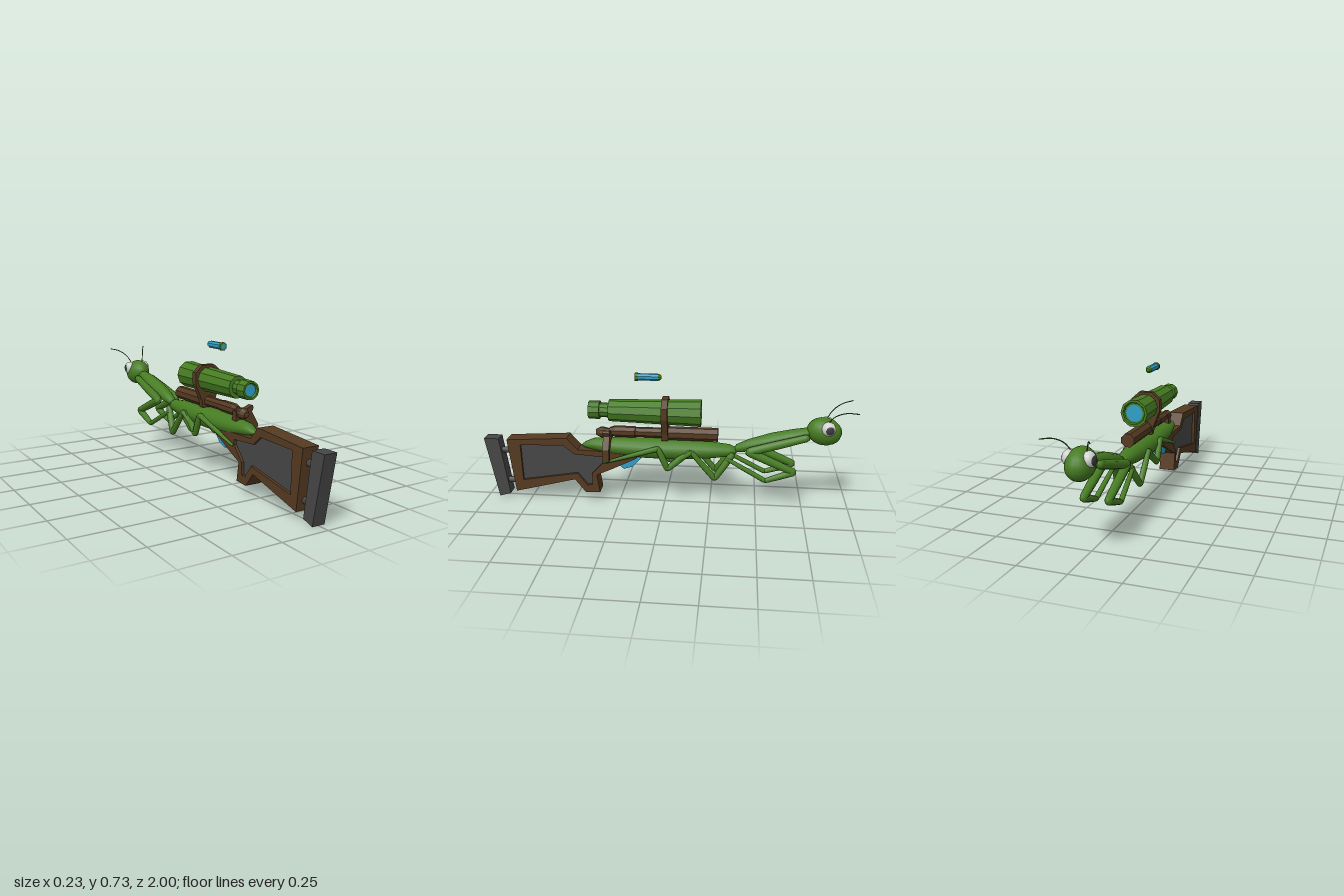
import * as THREE from 'three';

const mat = (name, color, side = THREE.FrontSide) => {
  const m = new THREE.MeshStandardMaterial({ color, side });
  m.name = name;
  return m;
};

export function createModel() {
  const root = new THREE.Group();
  root.name = 'insectRifle';
  const green = mat('leafGreen', 0x467c22);
  const brown = mat('woodBrown', 0x553a21);
  const grey = mat('darkGrey', 0x464646);
  const blue = mat('glassBlue', 0x2f9fc8);
  const white = mat('eyeWhite', 0xd2d2d2);
  const black = mat('pupilGrey', 0x3a3a3a);

  const add = (name, geo, material, parent = root) => {
    const m = new THREE.Mesh(geo, material);
    m.name = name;
    parent.add(m);
    return m;
  };
  const V = (x, y, z) => new THREE.Vector3(x, y, z);
  const poly = pts => pts.map(p => new THREE.Vector2(p[0], p[1]));

  // Side outline [z, y] extruded across x, centred on x = 0
  const sideExtrude = (pts, width, hole) => {
    const s = new THREE.Shape(poly(pts));
    if (hole) s.holes.push(new THREE.Path(poly(hole)));
    const g = new THREE.ExtrudeGeometry(s, { depth: width, bevelEnabled: false });
    return g.translate(0, 0, -width / 2).rotateY(-Math.PI / 2);
  };

  // Solid of revolution along z: profile [z, radius] with z decreasing
  const turned = (profile, y, sides) => {
    const g = new THREE.LatheGeometry(poly(profile.map(([z, r]) => [r, -z])), sides, Math.PI / sides);
    const flat = g.rotateX(-Math.PI / 2).translate(0, y, 0).toNonIndexed();
    flat.computeVertexNormals();
    return flat;
  };

  // Smooth elliptical loft along z: sections [z, y, rx, ry] with z decreasing
  const loft = (sections, sides = 14) => {
    const pos = [], idx = [];
    sections.forEach(([z, y, rx, ry]) => {
      for (let i = 0; i < sides; i++) {
        const a = i / sides * Math.PI * 2;
        pos.push(Math.cos(a) * rx, y + Math.sin(a) * ry, z);
      }
    });
    for (let j = 0; j < sections.length - 1; j++) {
      for (let i = 0; i < sides; i++) {
        const k = (i + 1) % sides, a = j * sides + i, b = j * sides + k;
        idx.push(a, a + sides, b, b, a + sides, b + sides);
      }
    }
    const g = new THREE.BufferGeometry();
    g.setAttribute('position', new THREE.Float32BufferAttribute(pos, 3));
    g.setIndex(idx);
    g.computeVertexNormals();
    return g;
  };

  // Tapered, round-ended limb segment
  const limb = (a, b, r0, r1) => {
    const d = b.clone().sub(a), L = d.length();
    const prof = [[0.0001, -r0 * 0.6], [r0 * 0.75, -r0 * 0.3], [r0, r0 * 0.5], [(r0 + r1) * 0.54, L / 2],
      [r1, L - r1 * 0.5], [r1 * 0.75, L + r1 * 0.3], [0.0001, L + r1 * 0.6]];
    const g = new THREE.LatheGeometry(poly(prof), 8);
    g.applyQuaternion(new THREE.Quaternion().setFromUnitVectors(V(0, 1, 0), d.normalize()));
    return g.translate(a.x, a.y, a.z);
  };

  // Stock: wooden frame with a recessed dark panel
  const panel = [[0.794, 0.323], [0.553, 0.329], [0.495, 0.281], [0.33, 0.27], [0.33, 0.243],
    [0.398, 0.168], [0.398, 0.104], [0.425, 0.1], [0.479, 0.168], [0.789, 0.115]];
  add('stockFrame', sideExtrude([[0.869, 0.35], [0.532, 0.372], [0.473, 0.307], [0.3, 0.302], [0.15, 0.31],
    [0.15, 0.27], [0.29, 0.2], [0.372, 0.163], [0.356, 0.061], [0.436, 0.056], [0.495, 0.131], [0.832, 0.045]],
  0.09, panel), brown);
  add('stockPanel', sideExtrude(panel, 0.06), grey);

  // Butt plate on two struts
  add('buttPlate', sideExtrude([[1, 0.35], [0.918, 0.35], [0.872, 0.024], [0.935, 0.005]], 0.07), grey);
  [[0.275, 0.88], [0.095, 0.86]].forEach(([y, z]) => {
    const g = new THREE.CylinderGeometry(0.018, 0.018, 0.09, 8).rotateX(Math.PI / 2);
    add('buttStrut', g.translate(0, y, z), grey);
  });

  // Abdomen and long forward thorax
  add('abdomen', loft([[0.458, 0.322, 0.001, 0.001], [0.44, 0.325, 0.02, 0.015], [0.39, 0.33, 0.038, 0.032],
    [0.28, 0.323, 0.055, 0.048], [0.1, 0.318, 0.063, 0.056], [-0.08, 0.318, 0.062, 0.056],
    [-0.24, 0.32, 0.052, 0.047], [-0.35, 0.322, 0.038, 0.033], [-0.385, 0.323, 0.02, 0.018], [-0.39, 0.323, 0.001, 0.001]]), green);
  add('thorax', loft([[-0.375, 0.333, 0.001, 0.001], [-0.385, 0.335, 0.022, 0.022], [-0.45, 0.355, 0.034, 0.034],
    [-0.57, 0.389, 0.046, 0.04], [-0.68, 0.42, 0.041, 0.034], [-0.77, 0.443, 0.03, 0.026], [-0.82, 0.455, 0.001, 0.001]]), green);

  // Head
  const head = new THREE.SphereGeometry(1, 16, 12).scale(0.068, 0.074, 0.093);
  add('head', head.rotateX(-0.2).translate(0, 0.45, -0.842), green);

  for (const s of [1, -1]) {
    const side = s > 0 ? 'left' : 'right';
    // Eyes with a pupil cap facing outward
    const eye = new THREE.Group();
    eye.name = side + 'Eye';
    eye.position.set(s * 0.046, 0.477, -0.857);
    eye.scale.set(0.85, 1, 1);
    root.add(eye);
    add('eyeball', new THREE.SphereGeometry(0.039, 14, 10), white, eye);
    const cap = new THREE.SphereGeometry(0.0405, 12, 4, 0, Math.PI * 2, 0, 0.6);
    add('pupil', cap.rotateZ(-s * Math.PI / 2).rotateY(s * 0.2), black, eye);

    // Antenna
    const path = new THREE.CatmullRomCurve3([V(s * 0.035, 0.505, -0.853), V(s * 0.055, 0.55, -0.885),
      V(s * 0.082, 0.579, -0.935), V(s * 0.115, 0.588, -0.995)]);
    add(side + 'Antenna', new THREE.TubeGeometry(path, 12, 0.0028, 5), green);

    // Legs: joint points [x, y, z] and segment radii
    const legs = {
      ForeLeg: [[[0.045, 0.425, -0.755], [0.06, 0.34, -0.45], [0.062, 0.235, -0.695], [0.064, 0.18, -0.545], [0.05, 0.29, -0.34]],
        [0.021, 0.024, 0.02, 0.014, 0.011]],
      MidLeg: [[[0.035, 0.31, -0.365], [0.062, 0.18, -0.275], [0.064, 0.325, -0.15], [0.058, 0.235, -0.02]],
        [0.019, 0.017, 0.014, 0.009]],
      HindLeg: [[[0.045, 0.325, -0.14], [0.064, 0.225, -0.02], [0.066, 0.34, 0.03], [0.055, 0.242, 0.33]],
        [0.019, 0.017, 0.016, 0.007]],
    };
    for (const [name, [pts, radii]] of Object.entries(legs)) {
      const leg = new THREE.Group();
      leg.name = side + name;
      root.add(leg);
      const joints = pts.map(p => V(s * p[0], p[1], p[2]));
      for (let i = 0; i < joints.length - 1; i++) {
        add('legSegment', limb(joints[i], joints[i + 1], radii[i], radii[i + 1]), green, leg);
      }
    }
  }

  // Barrel, receiver and bolt
  add('barrel', turned([[0.16, 0], [0.16, 0.027], [0, 0.029], [0, 0.037], [-0.287, 0.037], [-0.287, 0]], 0.408, 8), brown);
  add('receiver', turned([[0.3, 0], [0.3, 0.022], [0.27, 0.031], [0.16, 0.031], [0.14, 0]], 0.408, 8), brown);
  add('boltKnob', turned([[0.375, 0], [0.375, 0.016], [0.35, 0.029], [0.33, 0.029], [0.29, 0.02], [0.28, 0]], 0.4, 10), brown);
  const handle = new THREE.Shape(poly([[-0.03, 0.36], [0.046, 0.346], [0.07, 0.317], [0.073, 0.265], [0.104, 0.265],
    [0.104, 0.335], [0.067, 0.4], [0.077, 0.42], [0.071, 0.432], [0.03, 0.415], [-0.03, 0.41]]));
  add('boltHandle', new THREE.ExtrudeGeometry(handle, { depth: 0.035, bevelEnabled: false }).translate(0, 0, 0.29), brown);

  // Scope with lenses at both ends
  const scopeY = 0.527;
  add('scope', turned([[0.4, 0], [0.4, 0.034], [0.41, 0.038], [0.41, 0.048], [0.35, 0.05], [0.35, 0.039], [0.3, 0.039],
    [0.3, 0.059], [-0.11, 0.07], [-0.195, 0.073], [-0.195, 0.06], [-0.185, 0.055], [-0.185, 0]], scopeY, 10), green);
  const lens = (name, r, z, flip) => {
    const g = new THREE.CircleGeometry(r, 12);
    if (flip) g.rotateY(Math.PI);
    add(name, g.translate(0, scopeY, z), blue);
  };
  lens('rearLens', 0.03, 0.402, false);
  lens('frontLens', 0.045, -0.188, true);

  // Scope mount: collar tapering down to the barrel
  const mount = new THREE.Shape(poly([[-0.035, 0.605], [-0.078, 0.567], [-0.078, 0.505], [-0.042, 0.415], [-0.035, 0.375],
    [0.035, 0.375], [0.042, 0.415], [0.078, 0.505], [0.078, 0.567], [0.035, 0.605]]));
  const bore = new THREE.Path();
  bore.absarc(0, scopeY, 0.06, 0, Math.PI * 2, true);
  mount.holes.push(bore);
  add('scopeMount', new THREE.ExtrudeGeometry(mount, { depth: 0.034, bevelEnabled: false, curveSegments: 6 })
    .translate(0, 0, -0.02), brown);

  // Magazine under the body
  add('magazine', sideExtrude([[0.27, 0.243], [0.25, 0.3], [0.12, 0.3], [0.126, 0.268], [0.174, 0.216], [0.222, 0.2]], 0.06), blue);

  // Floating cartridge
  const cartY = 0.717;
  add('cartridgeRim', turned([[0.158, 0], [0.158, 0.022], [0.142, 0.022], [0.142, 0]], cartY, 8), green);
  add('cartridgeBody', turned([[0.142, 0], [0.142, 0.019], [0.035, 0.019], [0.035, 0]], cartY, 8), blue);
  add('cartridgeTip', turned([[0.035, 0.019], [0.024, 0.015], [0.018, 0.009], [0.018, 0]], cartY, 8), green);
  add('cartridgePrimer', new THREE.CircleGeometry(0.013, 10).translate(0, cartY, 0.16), blue);

  return root;
}
